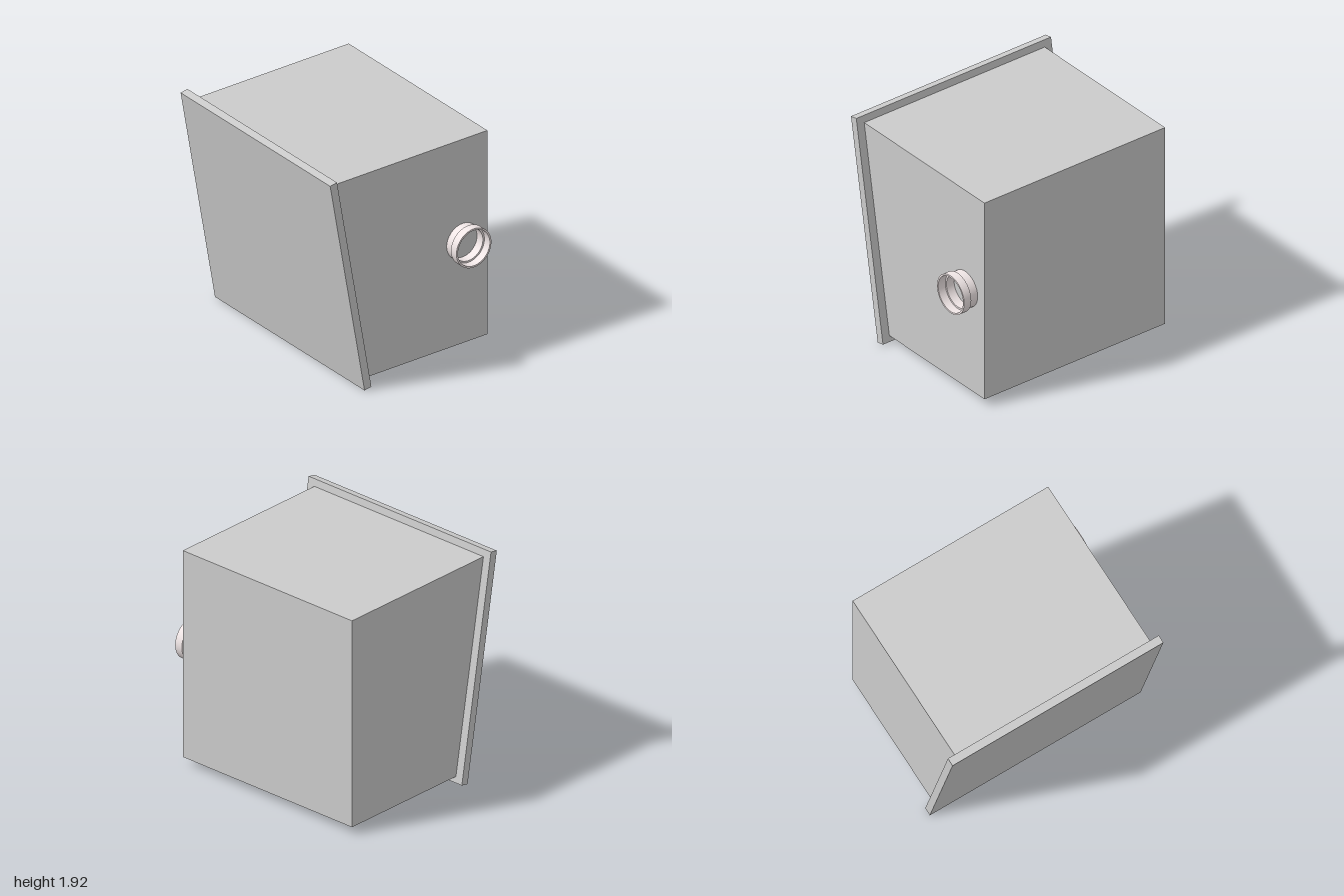
import * as THREE from 'three';
import { toCreasedNormals } from 'three/addons/utils/BufferGeometryUtils.js';

// Side profile given as [z, y] corners, extruded across x from x0 to x1
function extrudeAcross(name, corners, x0, x1, material) {
  const shape = new THREE.Shape(corners.map(([z, y]) => new THREE.Vector2(-z, y)));
  const geometry = new THREE.ExtrudeGeometry(shape, { depth: x1 - x0, bevelEnabled: false });
  geometry.rotateY(Math.PI / 2);
  geometry.translate(x0, 0, 0);
  const mesh = new THREE.Mesh(geometry, material);
  mesh.name = name;
  return mesh;
}

export function createModel() {
  const group = new THREE.Group();
  group.name = 'slopedCabinet';
  const grey = new THREE.MeshStandardMaterial({ color: 0xcccccc });
  const pale = new THREE.MeshStandardMaterial({ color: 0xf0e6e6 });

  // Cabinet with a front leaning forward by ten degrees
  group.add(extrudeAcross('cabinetBody',
    [[-0.79, 0.063], [0.399, 0.063], [0.715, 1.856], [-0.79, 1.856]], -0.93, 0.855, grey));

  // Overhanging front panel, parallel to the sloped front
  group.add(extrudeAcross('frontPanel',
    [[0.39, 0.012], [0.456, 0], [0.79, 1.904], [0.724, 1.916]], -1, 0.925, grey));

  // Hollow pipe socket on the side: narrow neck, wider collar, inner ledge
  const profile = [
    [0.14, 0], [0.155, 0], [0.155, 0.075], [0.17, 0.075], [0.17, 0.145],
    [0.155, 0.145], [0.155, 0.075], [0.14, 0.075], [0.14, 0],
  ].map(([r, h]) => new THREE.Vector2(r, h));
  const pipe = new THREE.Mesh(
    toCreasedNormals(new THREE.LatheGeometry(profile, 64), Math.PI / 6), pale);
  pipe.name = 'pipeSocket';
  pipe.material.side = THREE.DoubleSide;
  pipe.rotation.z = -Math.PI / 2;
  pipe.position.set(0.855, 0.96, -0.55);
  group.add(pipe);

  return group;
}
